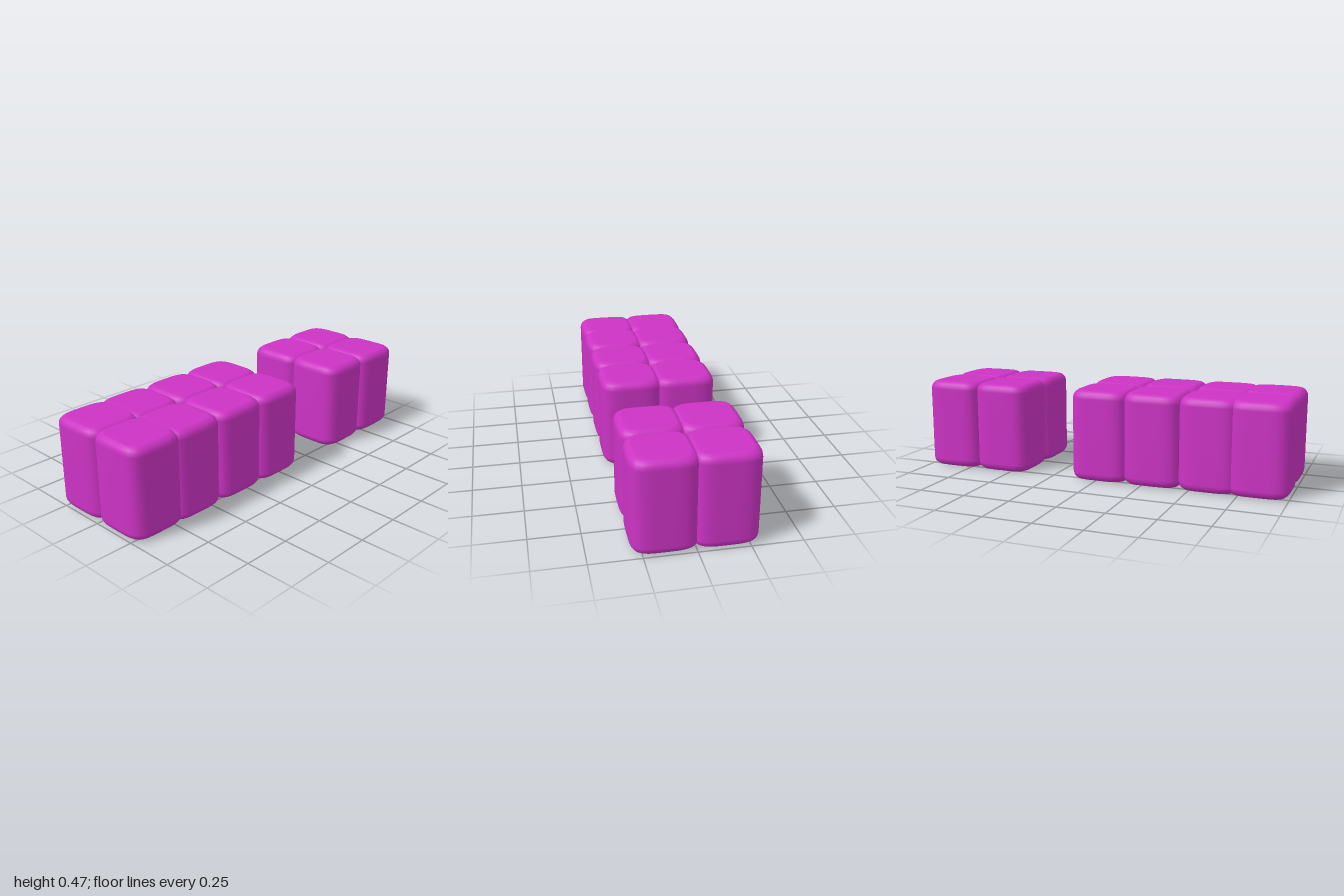
import * as THREE from 'three';
import { mergeVertices } from 'three/addons/utils/BufferGeometryUtils.js';

const HEIGHT = 0.475, HALF_X = 0.1595, HALF_Z = 0.155, POWER = 4.5;

// Pillow block: a turned profile whose round plan is pushed out to a soft rectangle
function blockGeometry() {
  const rim = [[0, 0], [0.77, 0], [0.8, 0.001], [0.86, 0.004], [0.935, 0.014], [0.98, 0.026], [1, 0.042]];
  const profile = [
    ...rim.map(([r, y]) => new THREE.Vector2(r, y)),
    ...rim.slice().reverse().map(([r, y]) => new THREE.Vector2(r, HEIGHT - y)),
  ];
  let geo = new THREE.LatheGeometry(profile, 48);
  const p = geo.attributes.position;
  for (let i = 0; i < p.count; i++) {
    const x = p.getX(i), z = p.getZ(i), r = Math.hypot(x, z);
    if (r < 1e-6) continue;
    const k = 1 / Math.pow(Math.abs(x / r) ** POWER + Math.abs(z / r) ** POWER, 1 / POWER);
    p.setX(i, x * k * HALF_X);
    p.setZ(i, z * k * HALF_Z);
  }
  geo.deleteAttribute('uv');
  geo.deleteAttribute('normal');
  geo = mergeVertices(geo, 1e-5);
  geo.computeVertexNormals();
  return geo;
}

export function createModel() {
  const model = new THREE.Group();
  model.name = 'blockRows';
  const geo = blockGeometry();
  const material = new THREE.MeshStandardMaterial({ color: 0xcc33c4 });

  // Two clusters of paired blocks with a gap between them
  const clusters = { rearCluster: [-0.845, -0.555], frontCluster: [0.015, 0.3, 0.593, 0.845] };
  for (const [name, rows] of Object.entries(clusters)) {
    const cluster = new THREE.Group();
    cluster.name = name;
    for (const z of rows) {
      for (const side of [-1, 1]) {
        const block = new THREE.Mesh(geo, material);
        block.name = side > 0 ? 'leftBlock' : 'rightBlock';
        block.position.set(side * 0.1425, 0, z);
        cluster.add(block);
      }
    }
    model.add(cluster);
  }
  return model;
}
